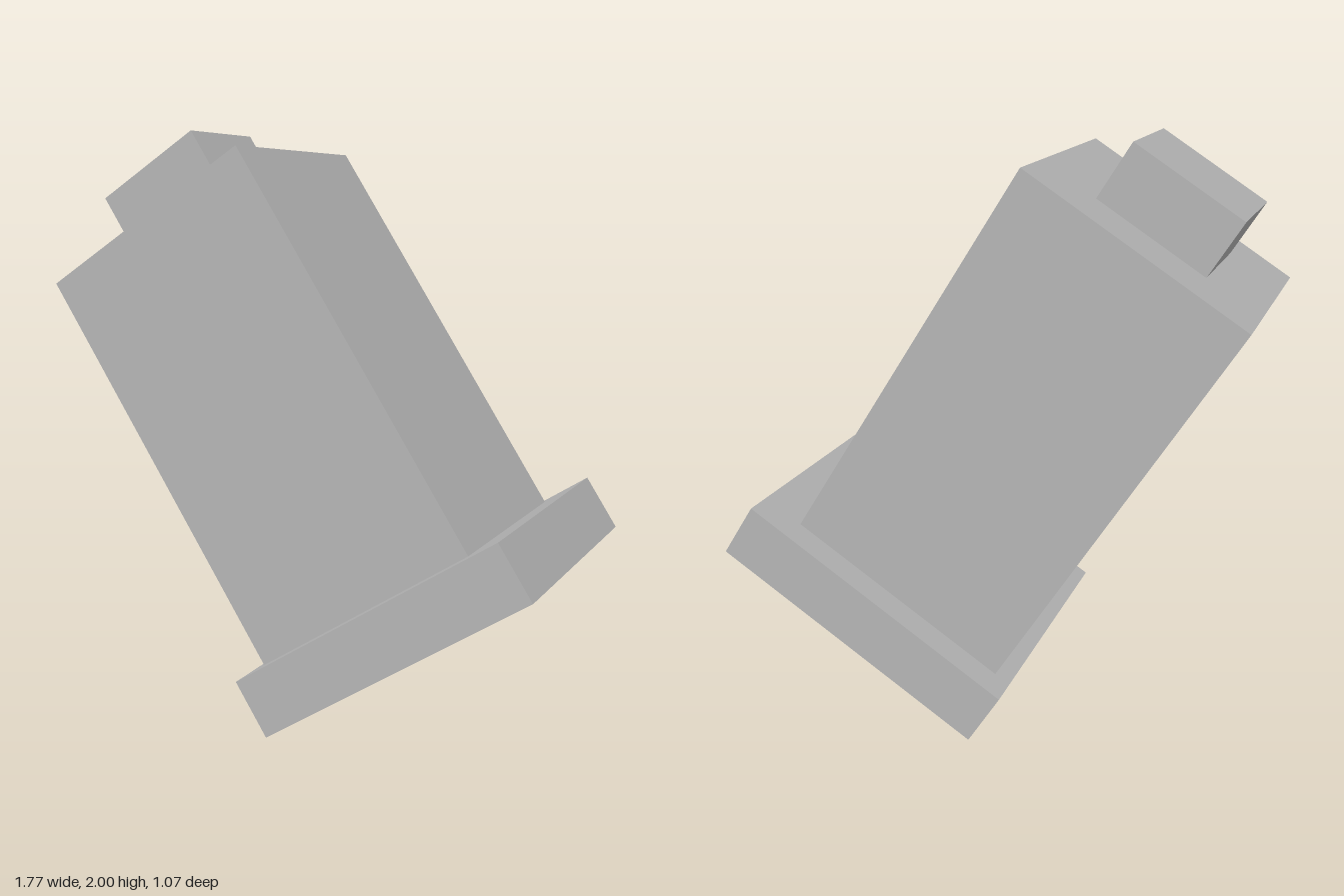
import * as THREE from 'three';

export function createModel() {
  const model = new THREE.Group();
  model.name = 'tiltedBlockPost';
  const grey = new THREE.MeshStandardMaterial({ color: 0xb4b4b4 });
  grey.name = 'grey';

  // Everything is built upright from the base's lower corner, then tilted
  const tilted = new THREE.Group();
  tilted.name = 'tiltedBody';
  tilted.position.x = -0.016;
  tilted.rotation.z = THREE.MathUtils.degToRad(32.5);
  model.add(tilted);

  const add = (name, geometry) => {
    const mesh = new THREE.Mesh(geometry, grey);
    mesh.name = name;
    tilted.add(mesh);
  };
  const block = (name, x0, x1, y0, y1, depth) => add(name,
    new THREE.BoxGeometry(x1 - x0, y1 - y0, depth).translate((x0 + x1) / 2, (y0 + y1) / 2, 0));

  // Square base with a shallow square socket underneath
  const rect = (Type, x0, x1, h) => {
    const path = new Type();
    path.moveTo(x0, -h).lineTo(x1, -h).lineTo(x1, h).lineTo(x0, h).closePath();
    return path;
  };
  const plate = rect(THREE.Shape, 0, 1.066, 0.533);
  plate.holes.push(rect(THREE.Path, 0.216, 0.858, 0.32));
  add('base', new THREE.ExtrudeGeometry(plate, { depth: 0.208, bevelEnabled: false }).rotateX(-Math.PI / 2));
  block('socketFloor', 0.216, 0.858, 0.107, 0.208, 0.64);

  // Tall body, set slightly off-centre on the base, and the peg on top
  block('body', 0.06, 0.913, 0.208, 1.709, 0.854);
  block('topPeg', 0.274, 0.7, 1.709, 1.922, 0.426);

  return model;
}
